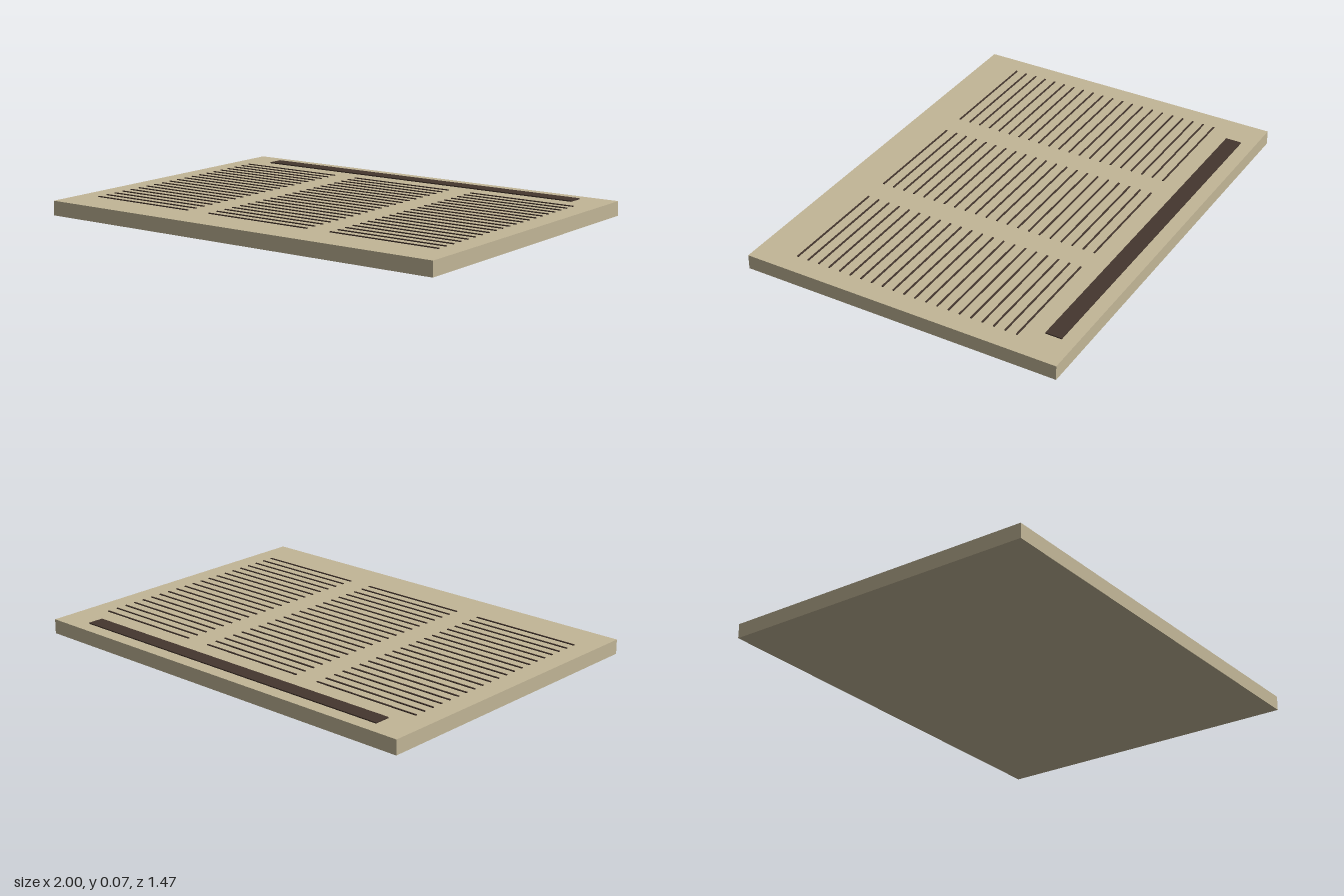
import * as THREE from 'three';

export function createModel() {
  const group = new THREE.Group();
  const paper = new THREE.MeshStandardMaterial({ color: 0xc2b697 });
  const ink = new THREE.MeshStandardMaterial({ color: 0x44362e });
  const top = 0.066;

  // Box given by its size, centre in x and z, and underside height
  function addBox(name, material, [w, h, d], x, y, z) {
    const mesh = new THREE.Mesh(new THREE.BoxGeometry(w, h, d), material);
    mesh.name = name;
    mesh.position.set(x, y + h / 2, z);
    group.add(mesh);
  }

  // Slab and the heading bar along its back edge
  addBox('slab', paper, [2, top, 1.47], 0, 0, 0);
  addBox('headingBar', ink, [1.684, 0.005, 0.074], 0, top, -0.634);

  // Three columns of thin raised lines
  const rows = 21;
  for (const x of [-0.642, 0, 0.642]) {
    for (let i = 0; i < rows; i++) {
      addBox('textLine', ink, [0.526, 0.004, 0.007], x, top, -0.504 + i * 0.0527);
    }
  }
  return group;
}
